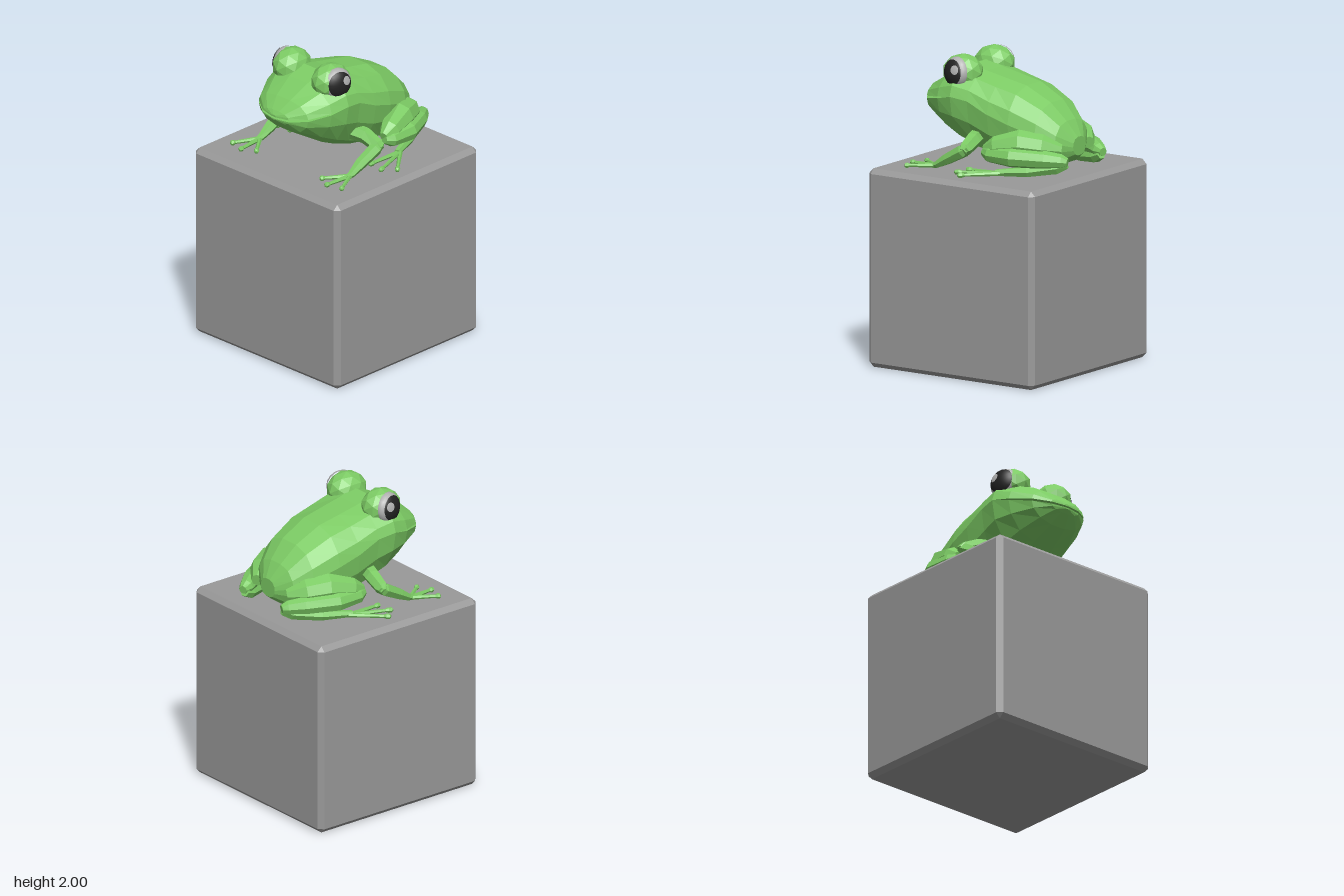
import * as THREE from 'three';
import { ConvexGeometry } from 'three/addons/geometries/ConvexGeometry.js';

const V = (x, y, z) => new THREE.Vector3(x, y, z);

function flat(geometry) {
  const g = geometry.index ? geometry.toNonIndexed() : geometry;
  g.computeVertexNormals();
  return g;
}

// Skin a list of equal-length closed rings, with both ends capped
function loft(rings) {
  const pos = [];
  const tri = (...pts) => pts.forEach((p) => pos.push(p.x, p.y, p.z));
  const n = rings[0].length;
  for (let i = 0; i < rings.length - 1; i++) {
    for (let j = 0; j < n; j++) {
      const k = (j + 1) % n;
      tri(rings[i][j], rings[i][k], rings[i + 1][k]);
      tri(rings[i][j], rings[i + 1][k], rings[i + 1][j]);
    }
  }
  const first = rings[0], last = rings[rings.length - 1];
  for (let j = 1; j < n - 1; j++) {
    tri(first[0], first[j + 1], first[j]);
    tri(last[0], last[j], last[j + 1]);
  }
  const g = new THREE.BufferGeometry();
  g.setAttribute('position', new THREE.Float32BufferAttribute(pos, 3));
  g.computeVertexNormals();
  return g;
}

// Faceted limb through points [x, y, z, radius]; s mirrors it to the other side
function limb(points, s, sides = 6) {
  const centres = points.map(([x, y, z]) => V(x * s, y, z));
  const rings = centres.map((c, i) => {
    const dir = centres[Math.min(i + 1, centres.length - 1)].clone()
      .sub(centres[Math.max(i - 1, 0)]).normalize();
    const u = V(0, 1, 0).cross(dir).normalize();
    const v = dir.clone().cross(u);
    return Array.from({ length: sides }, (_, j) => {
      const a = (j / sides) * Math.PI * 2;
      return c.clone().addScaledVector(u, Math.cos(a) * points[i][3])
        .addScaledVector(v, Math.sin(a) * points[i][3]);
    });
  });
  return loft(rings);
}

// Slender digit with a round pad at the tip
function digit(from, to, s) {
  const at = (t, r) => [...from.map((a, i) => a + (to[i] - a) * t), r];
  return limb([at(0, 0.016), at(0.85, 0.011), at(0.92, 0.018), at(1, 0.016), at(1.03, 0.006)], s);
}

export function createModel() {
  const green = new THREE.MeshStandardMaterial({ color: 0x7ccb64 });
  const stone = new THREE.MeshStandardMaterial({ color: 0x999999 });
  const eyeGrey = new THREE.MeshStandardMaterial({ color: 0xb0b0b0 });
  const black = new THREE.MeshStandardMaterial({ color: 0x222222 });
  green.name = 'skin green';
  stone.name = 'stone grey';
  eyeGrey.name = 'eye grey';
  black.name = 'pupil black';

  const model = new THREE.Group();
  model.name = 'frogOnBlock';
  const add = (name, geometry, material, parent = model) => {
    const mesh = new THREE.Mesh(geometry, material);
    mesh.name = name;
    parent.add(mesh);
    return mesh;
  };

  // Chamfered block
  const h = 0.643, c = h - 0.032, corners = [];
  for (const x of [-1, 1]) for (const y of [-1, 1]) for (const z of [-1, 1]) {
    corners.push(V(x * h, y * c, z * c), V(x * c, y * h, z * c), V(x * c, y * c, z * h));
  }
  add('block', flat(new ConvexGeometry(corners)), stone).position.y = h;

  // Body sections: z, half width, top, lip line, bottom, mouth gap
  const sections = [
    [-0.555, 0.07, 1.53, 1.47, 1.41, 0],
    [-0.49, 0.18, 1.63, 1.50, 1.36, 0],
    [-0.38, 0.25, 1.74, 1.55, 1.325, 0],
    [-0.20, 0.29, 1.83, 1.61, 1.315, 0],
    [-0.05, 0.305, 1.86, 1.66, 1.322, 0],
    [0.10, 0.313, 1.89, 1.73, 1.37, 0],
    [0.22, 0.33, 1.922, 1.748, 1.425, 0],
    [0.34, 0.297, 1.87, 1.728, 1.495, 0.01],
    [0.475, 0.22, 1.79, 1.705, 1.575, 0.014],
    [0.545, 0.115, 1.725, 1.692, 1.645, 0.014],
    [0.565, 0.02, 1.70, 1.688, 1.668, 0.012],
  ];
  const half = [[1, 0], [0.93, 0.4], [0.68, 0.82], [0.27, 1]];
  const arch = [...half, ...half.map(([x, y]) => [-x, y]).reverse()];
  add('backAndHead', loft(sections.map(([z, w, top, lip]) =>
    arch.map(([x, y]) => V(x * w, lip + y * (top - lip), z)))), green);
  add('bellyAndJaw', loft(sections.map(([z, w, , lip, low, gap]) =>
    arch.map(([x, y]) => V(-x * w, lip - gap - y * (lip - gap - low), z)))), green);

  for (const s of [1, -1]) {
    const side = s > 0 ? 'left' : 'right';

    // Brow bump and eye
    const brow = flat(new THREE.IcosahedronGeometry(1, 1).scale(0.115, 0.116, 0.138));
    add(side + 'Brow', brow, green).position.set(s * 0.172, 1.886, 0.225);

    const eye = new THREE.Group();
    eye.name = side + 'Eye';
    eye.position.set(s * 0.232, 1.89, 0.23);
    eye.quaternion.setFromUnitVectors(V(0, 0, 1), V(s, 0.1, 0.27).normalize());
    model.add(eye);
    const cap = (r, theta) => new THREE.SphereGeometry(r, 16, 8, 0, Math.PI * 2, 0, theta)
      .rotateX(Math.PI / 2);
    add('eyeball', cap(0.1, Math.PI / 2).scale(1, 1, 0.66), eyeGrey, eye);
    add('pupil', cap(0.102, 0.95).scale(1, 1, 0.67), black, eye);
    const glint = cap(0.104, 0.3).rotateX(-0.25).rotateY(-s * -0.42);
    add('glint', glint.scale(1, 1, 0.68), eyeGrey, eye);

    // Front leg
    const arm = new THREE.Group();
    arm.name = side + 'FrontLeg';
    model.add(arm);
    add('upperArm', limb([[0.2, 1.5, 0.08, 0.055], [0.31, 1.485, 0.05, 0.052],
      [0.41, 1.445, 0.04, 0.045], [0.44, 1.43, 0.04, 0.025]], s), green, arm);
    add('forearm', limb([[0.415, 1.46, 0.01, 0.025], [0.41, 1.43, 0.06, 0.045],
      [0.4, 1.36, 0.19, 0.038], [0.4, 1.315, 0.27, 0.024], [0.4, 1.307, 0.31, 0.016]], s), green, arm);
    for (const [x, z] of [[0.285, 0.43], [0.38, 0.48], [0.49, 0.45]]) {
      add('finger', digit([0.4, 1.308, 0.28], [x, 1.304, z], s), green, arm);
    }

    // Hind leg, folded
    const leg = new THREE.Group();
    leg.name = side + 'HindLeg';
    model.add(leg);
    add('thigh', limb([[0.15, 1.46, -0.52, 0.04], [0.22, 1.48, -0.42, 0.085], [0.28, 1.495, -0.29, 0.095],
      [0.34, 1.47, -0.14, 0.068], [0.355, 1.45, -0.07, 0.03]], s, 8), green, leg);
    add('shin', limb([[0.36, 1.435, -0.07, 0.03], [0.37, 1.425, -0.12, 0.052], [0.365, 1.425, -0.28, 0.065],
      [0.27, 1.415, -0.47, 0.06], [0.21, 1.405, -0.56, 0.047], [0.195, 1.4, -0.6, 0.028]], s, 8), green, leg);
    add('foot', limb([[0.19, 1.385, -0.59, 0.03], [0.215, 1.36, -0.53, 0.042], [0.3, 1.328, -0.36, 0.035],
      [0.375, 1.313, -0.17, 0.022]], s), green, leg);
    for (const [x, z] of [[0.545, 0], [0.47, 0.075], [0.36, 0.06]]) {
      add('toe', digit([0.375, 1.31, -0.2], [x, 1.304, z], s), green, leg);
    }
  }
  return model;
}
